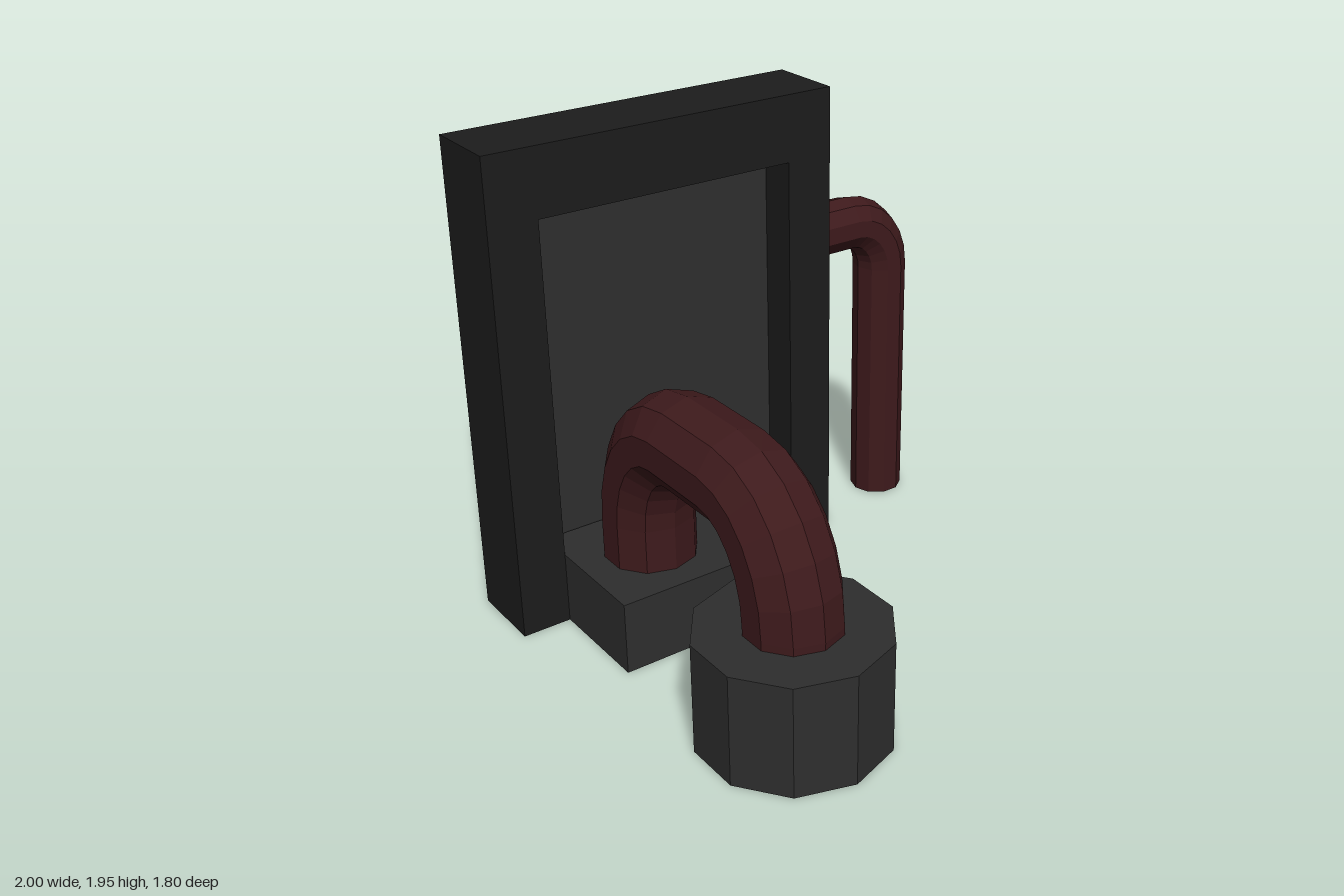
import * as THREE from 'three';

const material = (color) => new THREE.MeshStandardMaterial({ color, flatShading: true, side: THREE.DoubleSide });

// Sweeps an open ten-sided pipe along stations [z, y, tangentZ, tangentY] in the x = 0 plane.
function pipeGeometry(stations, radius, sides = 10) {
  const positions = [], index = [];
  stations.forEach(([z, y, dz, dy], i) => {
    const len = Math.hypot(dz, dy);
    for (let j = 0; j < sides; j++) {
      const a = (j / sides) * Math.PI * 2;
      const r = radius * Math.cos(a) / len;
      positions.push(radius * Math.sin(a), y - dz * r, z + dy * r);
      if (i === 0) continue;
      const k = (j + 1) % sides, lo = (i - 1) * sides, hi = i * sides;
      index.push(lo + j, lo + k, hi + k, lo + j, hi + k, hi + j);
    }
  });
  const geometry = new THREE.BufferGeometry();
  geometry.setAttribute('position', new THREE.Float32BufferAttribute(positions, 3));
  geometry.setIndex(index);
  geometry.computeVertexNormals();
  return geometry;
}

// Quarter bend around (cz, cy), from angle a0 to a1, as pipe stations.
function bend(cz, cy, rz, ry, a0, a1, steps = 6) {
  const dir = Math.sign(a1 - a0);
  return Array.from({ length: steps + 1 }, (_, i) => {
    const a = a0 + ((a1 - a0) * i) / steps;
    return [cz + rz * Math.cos(a), cy + ry * Math.sin(a), -dir * rz * Math.sin(a), dir * ry * Math.cos(a)];
  });
}

// Prism standing on the ground, open underneath.
function hollowBase(radius, height, sides, turn) {
  const geometry = new THREE.CylinderGeometry(radius, radius, height, sides, 1, false, turn);
  geometry.setIndex(Array.from(geometry.index.array).slice(0, sides * 9));
  geometry.clearGroups();
  return geometry.translate(0, height / 2, 0);
}

export function createModel() {
  const model = new THREE.Group();
  const black = material(0x1c1c1c), grey = material(0x2e2e2e), red = material(0x3e1a1c);
  const add = (name, geometry, mat, x = 0, y = 0, z = 0) => {
    const mesh = new THREE.Mesh(geometry, mat);
    mesh.name = name;
    mesh.position.set(x, y, z);
    model.add(mesh);
    return mesh;
  };

  // Doorway: notched surround, back slab and recessed panel
  const outline = new THREE.Shape([
    [-1, 0], [-0.8, 0], [-0.8, 1.68], [0.29, 1.68], [0.29, 0], [0.49, 0], [0.49, 1.95], [-1, 1.95],
  ].map(([x, y]) => new THREE.Vector2(x, y)));
  add('doorFrame', new THREE.ExtrudeGeometry(outline, { depth: 0.16, bevelEnabled: false }), black, 0, 0, -0.74);
  add('backSlab', new THREE.BoxGeometry(1.49, 1.95, 0.16), black, -0.255, 0.975, -0.82);
  add('doorPanel', new THREE.PlaneGeometry(1.09, 1.68), grey, -0.255, 0.84, -0.737);

  // Pipe bases
  add('roundBase', hollowBase(0.37, 0.45, 10, 0), grey, -0.505, 0, 0.53);
  add('squareBase', hollowBase(0.3 * Math.SQRT2, 0.3, 4, Math.PI / 4), grey, -0.5, 0, -0.43);

  // Arched pipe joining the two bases
  const arch = [
    [0.532, 0.44, 0, 1],
    ...bend(0.212, 0.48, 0.32, 0.418, 0, Math.PI / 2),
    ...bend(-0.11, 0.48, 0.31, 0.418, Math.PI / 2, Math.PI),
    [-0.42, 0.29, 0, -1],
  ];
  add('archPipe', pipeGeometry(arch, 0.186), red, -0.505);

  // Side pipe: leaves the frame and drops to the ground
  const drop = [
    [0.45, 1.296, 1, 0],
    ...bend(0.7, 1.08, 0.187, 0.216, Math.PI / 2, 0),
    [0.887, 0, 0, -1],
  ];
  add('sidePipe', pipeGeometry(drop, 0.113), red, 0, 0, -0.75).rotation.y = Math.PI / 2;

  return model;
}
